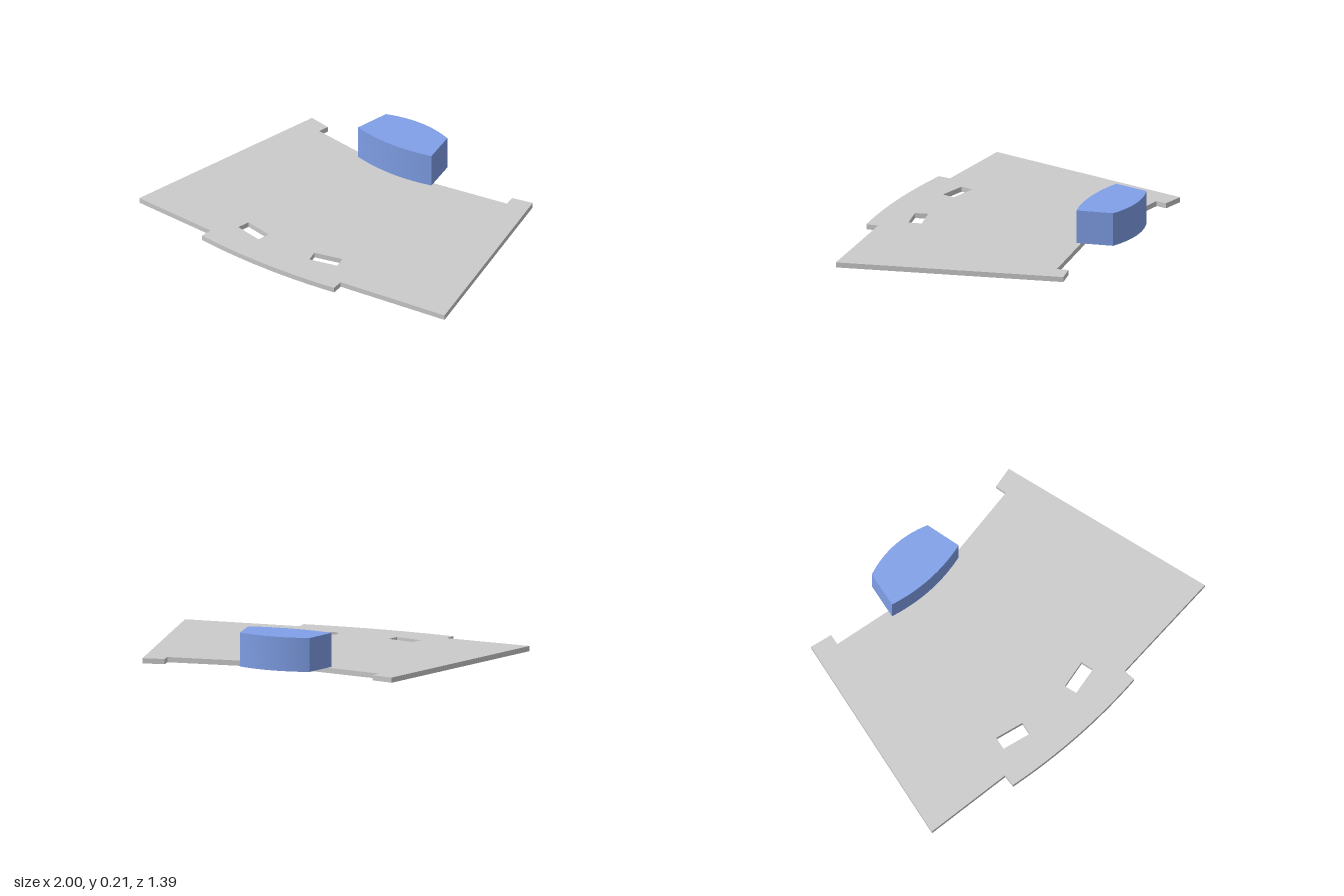
import * as THREE from 'three';
import { toCreasedNormals } from 'three/addons/utils/BufferGeometryUtils.js';

const PLATE = 0.028; // plate thickness
const TOP = 0.21;    // top of the block

// Outlines use plan coordinates (x, z). A four-number entry is a curve: control x, z, end x, z.
function trace(path, points) {
  points.forEach((p, i) => {
    if (i === 0) path.moveTo(p[0], -p[1]);
    else if (p.length === 4) path.quadraticCurveTo(p[0], -p[1], p[2], -p[3]);
    else path.lineTo(p[0], -p[1]);
  });
  path.closePath();
  return path;
}

// Upright slab from a plan outline, with its underside at height y
function slab(name, shape, y, height, color) {
  const extruded = new THREE.ExtrudeGeometry(shape, { depth: height, bevelEnabled: false, curveSegments: 16 });
  extruded.rotateX(-Math.PI / 2).translate(0, y, 0);
  const mesh = new THREE.Mesh(toCreasedNormals(extruded, 0.2), new THREE.MeshStandardMaterial({ color }));
  mesh.name = name;
  return mesh;
}

export function createModel() {
  const group = new THREE.Group();
  group.name = 'plateWithBlock';

  // Tapered plate with corner tabs at the back and a bowed lip at the front
  const plate = trace(new THREE.Shape(), [
    [-1, 0.552], [-0.502, 0.592], [-0.51, 0.66],
    [-0.07, 0.722, 0.365, 0.672], [0.36, 0.605], [1, 0.55],
    [0.705, -0.64], [0.588, -0.615], [0.6, -0.553],
    [0.06, -0.474], [-0.07, -0.455, -0.2, -0.486],
    [-0.632, -0.555], [-0.62, -0.615], [-0.742, -0.64],
  ]);

  // Two slanted slots
  const slots = [
    [[-0.39, 0.407], [-0.232, 0.442], [-0.247, 0.513], [-0.405, 0.478]],
    [[0.072, 0.448], [0.23, 0.412], [0.246, 0.482], [0.09, 0.517]],
  ];
  for (const corners of slots) plate.holes.push(trace(new THREE.Path(), corners));
  group.add(slab('plate', plate, 0, PLATE, 0xcccccc));

  // Block on the back edge, bowed at front and back
  const block = trace(new THREE.Shape(), [
    [-0.315, -0.468], [-0.07, -0.402, 0.17, -0.464],
    [0.13, -0.66], [-0.07, -0.738, -0.275, -0.664],
  ]);
  group.add(slab('block', block, PLATE, TOP - PLATE, 0x80a0e8));

  return group;
}
